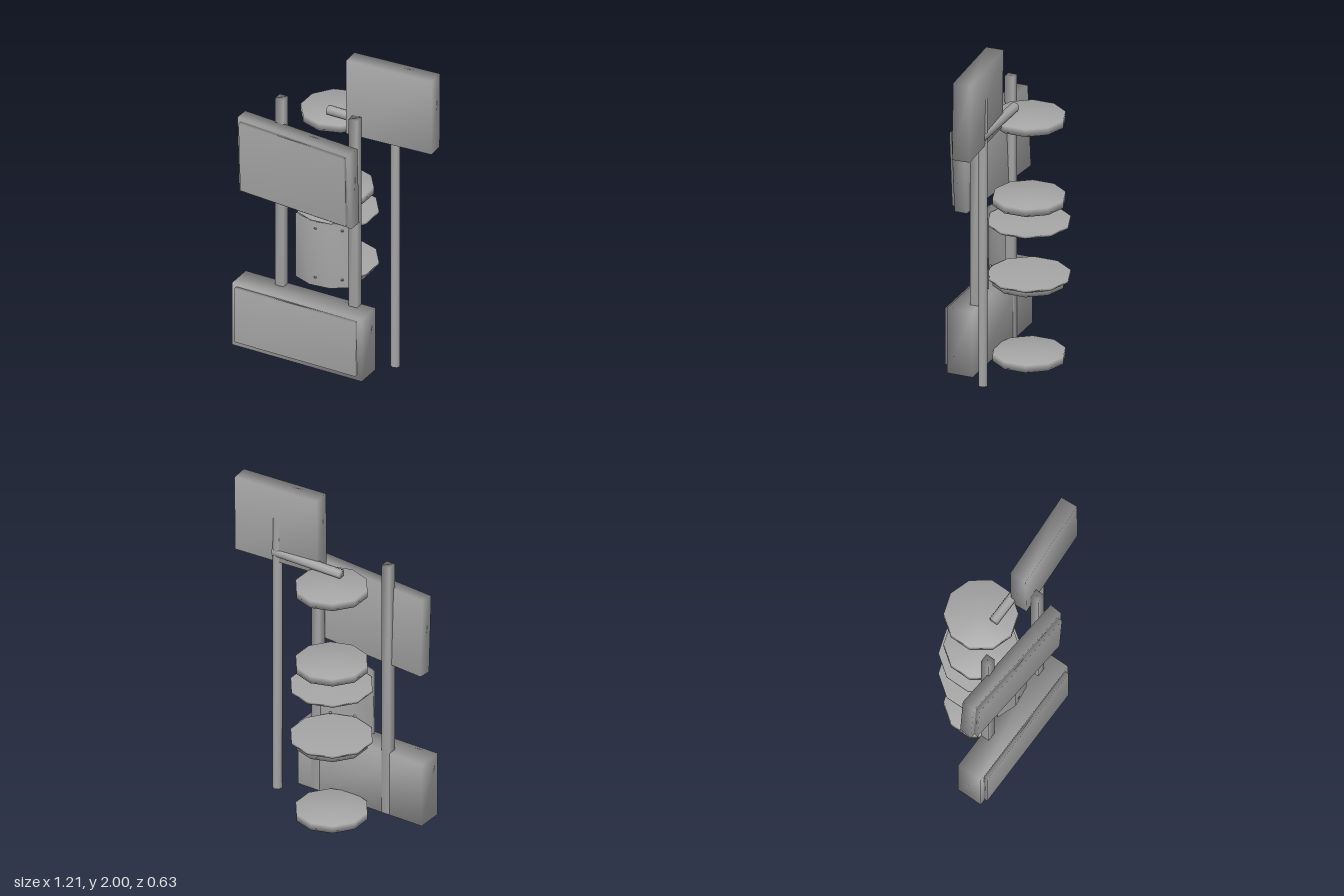
import * as THREE from 'three';
import { mergeVertices } from 'three/addons/utils/BufferGeometryUtils.js';

export function createModel() {
  const model = new THREE.Group();
  const grey = new THREE.MeshStandardMaterial({ color: 0xa6a6a6 });
  grey.name = 'plain grey';

  // Weld the corners so that normals blend over all edges
  function smooth(geometry) {
    geometry.deleteAttribute('normal');
    geometry.deleteAttribute('uv');
    const welded = mergeVertices(geometry, 1e-4);
    welded.computeVertexNormals();
    return welded;
  }

  function add(parent, name, geometry, x, y, z) {
    const mesh = new THREE.Mesh(smooth(geometry), grey);
    mesh.name = name;
    mesh.position.set(x, y, z);
    parent.add(mesh);
    return mesh;
  }
  const box = (w, h, d) => new THREE.BoxGeometry(w, h, d);

  // Base box with a raised front plate
  add(model, 'baseBox', box(0.86, 0.41, 0.16), -0.18, 0.205, 0.2);
  add(model, 'baseFrontPlate', box(0.8, 0.355, 0.03), -0.18, 0.215, 0.29);

  // Two square posts
  for (const [name, x] of [['rightPost', -0.357], ['leftPost', 0.13]]) {
    add(model, name, box(0.056, 1.649, 0.056), x, 0.8255, 0.147);
  }

  // Upper sign, turned and leaning forward a little
  const sign = new THREE.Group();
  sign.name = 'upperSign';
  add(sign, 'signBox', box(0.78, 0.5, 0.08), 0, 0, 0);
  add(sign, 'signFrontPlate', box(0.73, 0.455, 0.03), 0, 0, 0.053);
  sign.position.set(-0.212, 1.238, 0.206);
  sign.rotation.set(0.04, -0.08, 0, 'YXZ');
  model.add(sign);

  // Tall pole with its side arm and top board
  add(model, 'pole', new THREE.CylinderGeometry(0.029, 0.029, 1.8, 8), 0.326, 0.9, 0.021);
  const arm = add(model, 'poleArm', new THREE.CylinderGeometry(0.029, 0.029, 0.47, 8), 0.115, 1.57, 0.018);
  arm.rotation.z = Math.PI / 2;
  const board = add(model, 'topBoard', box(0.55, 0.483, 0.106), 0.327, 1.757, 0.053);
  board.rotation.set(-0.01, 0.06, 0, 'YXZ');

  // Stack of ten-sided shelves: [radius, bottom, top]
  const discX = -0.115, discZ = -0.075;
  const shelves = [
    [0.215, 0.01, 0.056], [0.215, 0.485, 0.53], [0.245, 0.526, 0.541],
    [0.245, 0.866, 0.881], [0.215, 0.99, 1.036], [0.215, 1.493, 1.54],
  ];
  shelves.forEach(([r, y0, y1], i) => {
    add(model, 'shelf' + (i + 1), new THREE.CylinderGeometry(r, r, y1 - y0, 10), discX, (y0 + y1) / 2, discZ);
  });

  // Bent three-sided screen in front of the shelves
  const outline = new THREE.Shape();
  const rim = (r, i) => {
    const a = THREE.MathUtils.degToRad(-33.4 + 27 * i);
    return new THREE.Vector2(r * Math.sin(a), -r * Math.cos(a));
  };
  const points = [0, 1, 2, 3].map((i) => rim(0.27, i));
  for (let i = 3; i >= 0; i--) points.push(rim(0.252, i));
  outline.setFromPoints(points);
  const screen = new THREE.ExtrudeGeometry(outline, { depth: 0.42, bevelEnabled: false });
  screen.rotateX(-Math.PI / 2);
  add(model, 'bentScreen', screen, discX, 0.49, discZ);

  // Small studs holding the screen
  for (const deg of [1, 36]) {
    for (const y of [0.545, 0.87]) {
      const a = THREE.MathUtils.degToRad(deg);
      const stud = add(model, 'screenStud', box(0.014, 0.01, 0.03),
        discX + 0.251 * Math.sin(a), y, discZ + 0.251 * Math.cos(a));
      stud.rotation.y = a;
    }
  }

  return model;
}
